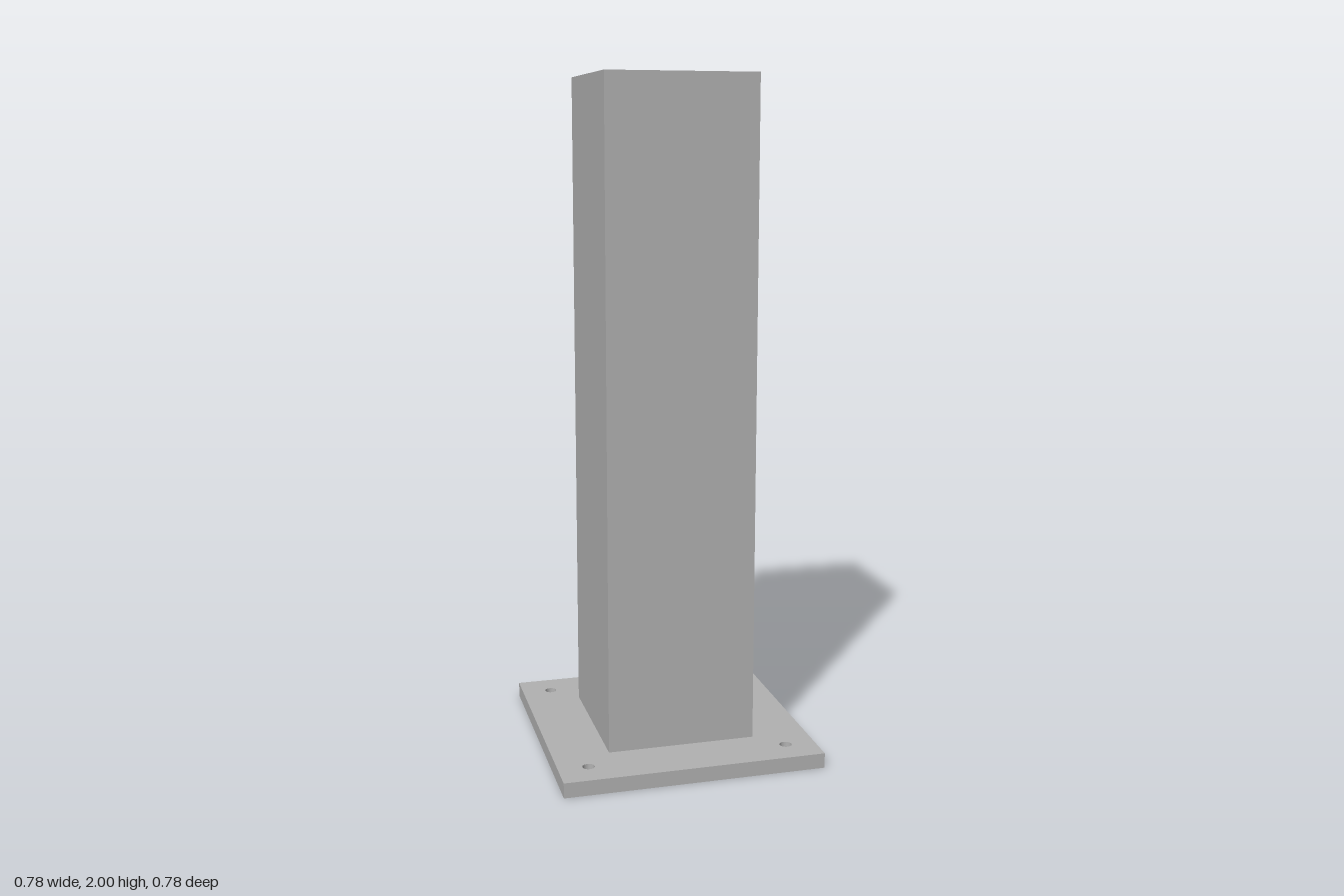
import * as THREE from 'three';

const BORE = 0.1;      // half width of the square through-hole
const PLATE_TOP = 0.045;

// Square outline of the given half width
function square(half, Type = THREE.Shape) {
  return new Type([[-1, -1], [1, -1], [1, 1], [-1, 1]]
    .map(([x, y]) => new THREE.Vector2(x * half, y * half)));
}

// Extrude a plan shape upwards from y0 to y1
function upright(name, shape, y0, y1, material) {
  const geometry = new THREE.ExtrudeGeometry(shape, {
    depth: y1 - y0, bevelEnabled: false, curveSegments: 24,
  });
  geometry.rotateX(-Math.PI / 2).translate(0, y0, 0);
  const mesh = new THREE.Mesh(geometry, material);
  mesh.name = name;
  return mesh;
}

export function createModel() {
  const group = new THREE.Group();
  group.name = 'postWithBasePlate';
  const steel = new THREE.MeshStandardMaterial({ color: 0xb2b2b2 });
  steel.name = 'grey steel';

  // Base plate with the central opening and four bolt holes
  const plate = square(0.39);
  plate.holes.push(square(BORE, THREE.Path));
  for (const x of [-0.3, 0.3]) {
    for (const z of [-0.3, 0.3]) {
      plate.holes.push(new THREE.Path().absarc(x, z, 0.018, 0, Math.PI * 2, true));
    }
  }
  group.add(upright('basePlate', plate, 0, PLATE_TOP, steel));

  // Thick-walled square post, open from end to end
  const post = square(0.222);
  post.holes.push(square(BORE, THREE.Path));
  group.add(upright('post', post, PLATE_TOP, 2, steel));

  return group;
}
